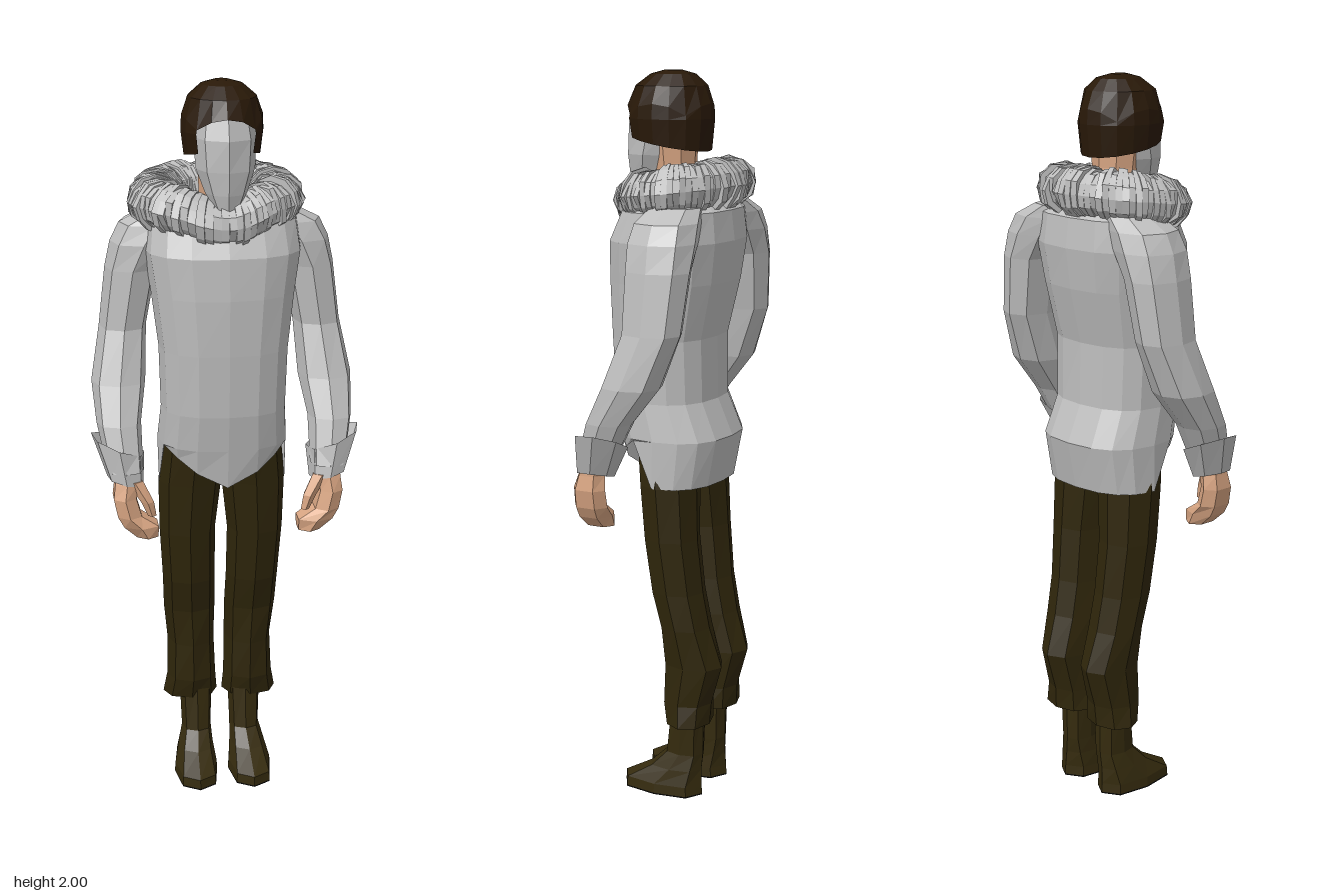
import * as THREE from 'three';

const mat = (name, color) => {
  const m = new THREE.MeshStandardMaterial({ color, flatShading: true, side: THREE.DoubleSide });
  m.name = name;
  return m;
};

// Horizontal cross-section; p above 2 makes it boxier, lift bends its height by angle
function ring([y, cx, cz, rx, rz], n, side = 1, p = 2, lift = () => 0) {
  const bend = (v) => Math.sign(v) * Math.abs(v) ** (2 / p);
  return Array.from({ length: n }, (_, j) => {
    const a = (j / n) * Math.PI * 2;
    return new THREE.Vector3(
      side * cx + rx * bend(Math.sin(a)), y + lift(a), cz + rz * bend(Math.cos(a)));
  });
}

// Skin a stack of cross-sections, listed from bottom to top
function loft(rings, { bottom = true, top = true, skip = () => false } = {}) {
  const pos = [];
  const tri = (...pts) => pts.forEach((v) => pos.push(v.x, v.y, v.z));
  const n = rings[0].length;
  for (let i = 0; i < rings.length - 1; i++) {
    for (let j = 0; j < n; j++) {
      if (skip(i, j)) continue;
      const k = (j + 1) % n;
      const [a, b, c, d] = [rings[i][j], rings[i][k], rings[i + 1][k], rings[i + 1][j]];
      tri(a, b, c);
      tri(a, c, d);
    }
  }
  const cap = (r, flip) => {
    const mid = r.reduce((s, v) => s.add(v), new THREE.Vector3()).divideScalar(n);
    r.forEach((v, j) => (flip ? tri(mid, r[(j + 1) % n], v) : tri(mid, v, r[(j + 1) % n])));
  };
  if (bottom) cap(rings[0], true);
  if (top) cap(rings[rings.length - 1], false);
  const g = new THREE.BufferGeometry();
  g.setAttribute('position', new THREE.Float32BufferAttribute(pos, 3));
  g.computeVertexNormals();
  return g;
}

export function createModel() {
  const model = new THREE.Group();
  model.name = 'figure';
  const coat = mat('coat grey', 0xbebebe);
  const skin = mat('skin', 0xd9a683);
  const cloth = mat('trouser olive', 0x2f260b);
  const leather = mat('boot olive', 0x352b0e);
  const rubber = mat('sole black', 0x080704);
  const brown = mat('hair brown', 0x291908);
  const add = (name, geometry, material, parent = model) => {
    const m = new THREE.Mesh(geometry, material);
    m.name = name;
    parent.add(m);
  };
  const stack = (rows, n, side, p) => rows.map((r) => ring(r, n, side, p));

  // Jacket body: hem dips to a point in front, is notched at the hips and straight behind
  const hem = [0.02, 0.06, 0.1, 0.125, 0, 0, 0, 0, 0];
  const hemLift = (a) => {
    const j = Math.round((a / Math.PI) * 8);
    return hem[Math.min(j, 16 - j)];
  };
  add('jacketBody', loft([
    ring([0.9, 0, -0.005, 0.175, 0.13], 16, 1, 2.5, hemLift),
    ...stack([
      [1.03, 0, -0.01, 0.178, 0.152],
      [1.13, 0, 0.02, 0.17, 0.138],
      [1.3, 0, 0.026, 0.175, 0.141],
      [1.45, 0, 0.01, 0.193, 0.16],
      [1.56, 0, 0, 0.21, 0.165],
      [1.64, 0, -0.015, 0.2, 0.14],
      [1.68, 0, -0.015, 0.12, 0.085],
    ], 16, 1, 2.5),
  ], { bottom: false }), coat);

  for (const [label, s] of [['left', 1], ['right', -1]]) {
    const arm = new THREE.Group();
    arm.name = label + 'Arm';
    model.add(arm);
    // The sleeve spreads inward at the top to join the back of the jacket
    add(label + 'Sleeve', loft(stack([
      [0.98, 0.275, 0.108, 0.048, 0.05],
      [1.1, 0.287, 0.055, 0.06, 0.063],
      [1.2, 0.282, -0.008, 0.073, 0.08],
      [1.34, 0.265, -0.058, 0.064, 0.082],
      [1.5, 0.24, -0.064, 0.07, 0.09],
      [1.57, 0.21, -0.062, 0.085, 0.092],
      [1.62, 0.18, -0.062, 0.09, 0.085],
      [1.655, 0.13, -0.06, 0.07, 0.07],
    ], 8, s, 2.5)), coat, arm);

    // Turned-back cuff, higher on the outside
    const tilt = (k) => (a) => k * s * Math.sin(a);
    add(label + 'Cuff', loft([
      ring([0.95, 0.275, 0.11, 0.05, 0.052], 7, s, 2, tilt(0.012)),
      ring([1.045, 0.292, 0.082, 0.073, 0.072], 7, s, 2, tilt(0.03)),
    ], { bottom: false, top: false }), coat, arm);

    // Hand with fingers curled inward, and thumb
    add(label + 'Hand', loft(stack([
      [0.798, 0.22, 0.125, 0.032, 0.042],
      [0.83, 0.237, 0.128, 0.052, 0.048],
      [0.86, 0.268, 0.127, 0.036, 0.05],
      [0.91, 0.28, 0.125, 0.034, 0.048],
      [0.95, 0.274, 0.12, 0.035, 0.04],
      [1.02, 0.275, 0.1, 0.03, 0.03],
    ], 6, s, 2.4)), skin, arm);
    add(label + 'Thumb', loft(stack([
      [0.86, 0.208, 0.145, 0.012, 0.016],
      [0.9, 0.22, 0.145, 0.018, 0.021],
      [0.955, 0.253, 0.13, 0.024, 0.024],
    ], 5, s)), skin, arm);

    const leg = new THREE.Group();
    leg.name = label + 'Leg';
    model.add(leg);
    add(label + 'Trouser', loft(stack([
      [0.22, 0.085, -0.078, 0.078, 0.06],
      [0.28, 0.082, -0.072, 0.07, 0.07],
      [0.39, 0.082, -0.087, 0.067, 0.086],
      [0.5, 0.087, -0.068, 0.073, 0.07],
      [0.6, 0.09, -0.045, 0.074, 0.074],
      [0.75, 0.095, -0.028, 0.078, 0.076],
      [0.9, 0.088, -0.018, 0.088, 0.08],
      [1.06, 0.075, -0.008, 0.086, 0.09],
    ], 8, s, 2.2)), cloth, leg);
    add(label + 'Boot', loft(stack([
      [0.004, 0.078, 0.01, 0.062, 0.122],
      [0.03, 0.078, 0.01, 0.06, 0.12],
      [0.075, 0.075, -0.03, 0.05, 0.078],
      [0.12, 0.07, -0.055, 0.042, 0.055],
      [0.26, 0.07, -0.065, 0.047, 0.046],
    ], 8, s, 2.6)), leather, leg);
    add(label + 'Sole', loft(stack([
      [0, 0.078, 0.01, 0.062, 0.122],
      [0.004, 0.078, 0.01, 0.062, 0.122],
    ], 8, s, 2.6), { top: false }), rubber, leg);
  }

  // Neck widening into the jaw, and pale face covering
  add('neck', loft(stack([
    [1.62, 0, 0, 0.075, 0.065],
    [1.7, 0, 0.005, 0.062, 0.056],
    [1.76, 0, 0.012, 0.066, 0.058],
    [1.84, 0, 0.015, 0.075, 0.065],
  ], 8)), skin);
  add('face', loft(stack([
    [1.67, 0, 0.105, 0.03, 0.03],
    [1.72, 0, 0.085, 0.055, 0.06],
    [1.78, 0, 0.07, 0.077, 0.08],
    [1.86, 0, 0.05, 0.083, 0.1],
    [1.94, 0, 0.035, 0.07, 0.085],
  ], 8)), coat);

  // Bowl-shaped hair, open in an arch over the face
  const arch = (a) => -0.03 * Math.sin(2 * a) ** 4;
  add('hair', loft([
    ring([1.83, -0.004, 0.028, 0.1, 0.112], 16, 1, 2, (a) => -0.02 * (1 - Math.cos(a))),
    ring([1.875, -0.004, 0.028, 0.108, 0.12], 16),
    ring([1.915, -0.004, 0.028, 0.106, 0.118], 16, 1, 2, arch),
    ...stack([
      [1.96, -0.004, 0.025, 0.09, 0.098],
      [1.99, -0.004, 0.02, 0.055, 0.062],
      [2, -0.004, 0.02, 0.02, 0.025],
    ], 16),
  ], { bottom: false, skip: (i, j) => i < 2 && (j < 2 || j > 13) }), brown);

  // Fur collar: a tilted ring of uneven tufts, sagging at the front
  let seed = 7;
  const rand = () => (seed = (seed * 16807) % 2147483647) / 2147483647;
  const tufts = 72, around = 12, fur = [];
  for (let i = 0; i < tufts; i++) {
    const size = 0.88 + rand() * 0.15;
    const rough = Array.from({ length: around }, () => size * (0.91 + rand() * 0.18));
    for (const e of [i, i + 1]) {
      const a = (e / tufts) * Math.PI * 2, sn = Math.sin(a), cs = Math.cos(a);
      const sag = Math.max(0, cs) ** 10;
      fur.push(rough.map((k, j) => {
        const t = (-j / around) * Math.PI * 2, out = 0.074 * k * Math.cos(t);
        return new THREE.Vector3(
          -0.017 * (1 - sag) + (0.16 + out) * sn,
          1.688 - 0.018 * cs - 0.035 * sag + 0.067 * k * Math.sin(t),
          -0.009 + (0.102 + out) * cs);
      }));
    }
  }
  fur.push(fur[0]);
  add('furCollar', loft(fur, { bottom: false, top: false }), coat);

  return model;
}
